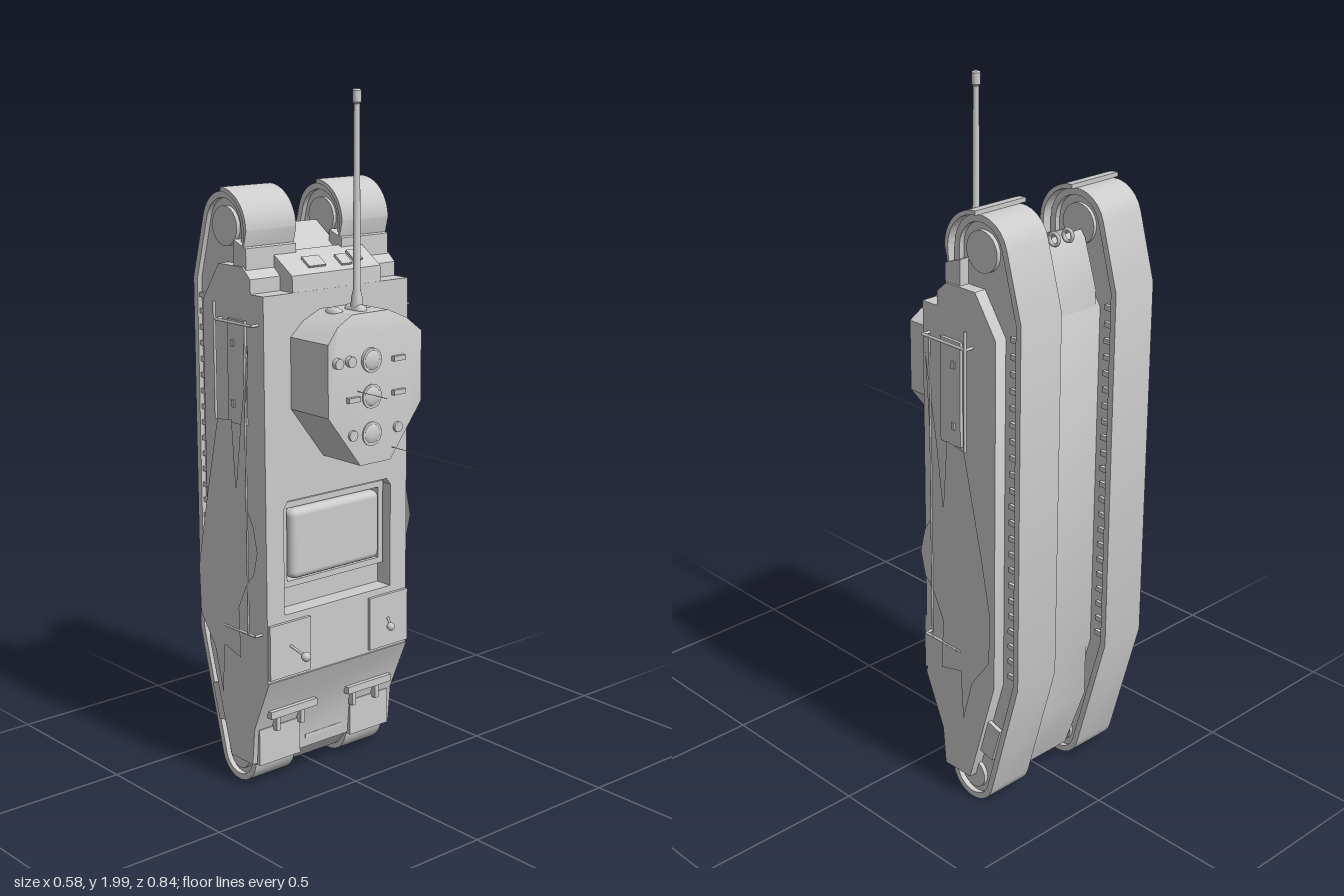
import * as THREE from 'three';
import { toCreasedNormals } from 'three/addons/utils/BufferGeometryUtils.js';
import { RoundedBoxGeometry } from 'three/addons/geometries/RoundedBoxGeometry.js';

const grey = new THREE.MeshStandardMaterial({ color: 0xcccccc });
const thin = new THREE.MeshStandardMaterial({ color: 0xcccccc, side: THREE.DoubleSide });

export function createModel() {
  const model = new THREE.Group();

  const add = (name, geo, x = 0, y = 0, z = 0, mat = grey) => {
    const mesh = new THREE.Mesh(geo, mat);
    mesh.name = name;
    mesh.position.set(x, y, z);
    model.add(mesh);
    return mesh;
  };
  const box = (name, w, h, d, x, y, z) => add(name, new THREE.BoxGeometry(w, h, d), x, y, z);
  const rod = (name, a, b, r0, r1 = r0, sides = 10) => {
    const from = new THREE.Vector3(...a), to = new THREE.Vector3(...b);
    const mesh = add(name, new THREE.CylinderGeometry(r1, r0, from.distanceTo(to), sides));
    mesh.position.copy(from).add(to).multiplyScalar(0.5);
    mesh.quaternion.setFromUnitVectors(new THREE.Vector3(0, 1, 0), to.sub(from).normalize());
    return mesh;
  };
  const pts = list => list.map(([a, b]) => new THREE.Vector2(a, b));
  const extrude = (shape, depth) => toCreasedNormals(
    new THREE.ExtrudeGeometry(shape, { depth, bevelEnabled: false, curveSegments: 12 }), 0.6);
  // side profile given as [-z, y], extruded from x0 to x1
  const across = (name, shape, x0, x1) =>
    add(name, extrude(shape, x1 - x0).rotateY(Math.PI / 2), x0);
  const rect = (x0, y0, x1, y1) => pts([[x0, y0], [x1, y0], [x1, y1], [x0, y1]]);

  // Hull: wide body, narrower keel between the tracks, deck plate with a recess
  across('hullBody', new THREE.Shape(pts([
    [0.15, 0.09], [0.25, 0.09], [0.345, 0.42], [0.345, 1.42], [0.27, 1.53], [0.165, 1.53],
    [0.13, 1.5], [0.13, 0.36], [0.07, 0.36], [0.14, 0.2]])), -0.263, 0.263);
  across('keel', new THREE.Shape(pts([
    [0.15, 0.1], [0.2, 0.04], [0.27, 0.05], [0.342, 0.25], [0.342, 1.47], [0.3, 1.6],
    [0.285, 1.62], [0.155, 1.53]])), -0.1, 0.1);
  const deck = new THREE.Shape(rect(-0.263, 0.36, 0.263, 1.46));
  deck.holes.push(new THREE.Path(pts([
    [-0.2, 0.55], [0.2, 0.55], [0.2, 0.86], [0.185, 0.88], [-0.185, 0.88], [-0.2, 0.86]])));
  add('deckPlate', extrude(deck, 0.057), 0, 0, -0.132);
  across('upperGlacis', new THREE.Shape(pts([
    [0.075, 1.45], [0.17, 1.45], [0.17, 1.56], [0.155, 1.555], [0.078, 1.505]])), -0.16, 0.16);

  // Raised cover and rim in the deck recess
  add('engineCover', new RoundedBoxGeometry(0.33, 0.205, 0.05, 3, 0.02), 0, 0.745, -0.105);
  const rim = new THREE.Shape(rect(-0.19, 0.62, 0.19, 0.87));
  rim.holes.push(new THREE.Path(rect(-0.172, 0.638, 0.172, 0.852)));
  add('coverRim', extrude(rim, 0.035), 0, 0, -0.132);

  // Track outline: arcs [-z, y, radius, start, end in degrees] joined by straight runs
  const arcs = [[0.24, 0.09, 0.08, -180, -15], [0.385, 0.44, 0.03, -15, 0],
    [0.38, 1.47, 0.033, 0, 15], [0.27, 1.63, 0.095, 15, 180]];
  const outline = inset => arcs.flatMap(([cz, cy, r, a, b]) =>
    Array.from({ length: 13 }, (_, i) => {
      const t = THREE.MathUtils.degToRad(a + (b - a) * i / 12);
      return new THREE.Vector2(cz + (r - inset) * Math.cos(t), cy + (r - inset) * Math.sin(t));
    }));

  // Skirt outline as [-z, y]
  const skirtShape = new THREE.Shape(pts([
    [0.13, 0.87], [0.1, 0.82], [0.083, 0.75], [0.1, 0.68], [0.13, 0.65], [0.17, 0.57],
    [0.165, 0.42], [0.24, 0.44], [0.25, 0.29], [0.285, 0.42], [0.35, 0.51], [0.355, 0.65],
    [0.32, 0.82], [0.255, 1.1], [0.19, 1.11], [0.175, 0.91], [0.15, 1.1], [0.11, 1.34],
    [0.125, 1.1]]));

  for (const s of [-1, 1]) {
    const span = (name, shape, a, b) => across(name, shape, s > 0 ? a : -b, s > 0 ? b : -a);

    // Track band, frame and guide lugs
    const band = new THREE.Shape(outline(0));
    band.holes.push(new THREE.Path(outline(0.018)));
    span('trackBand', band, 0.1, 0.243);
    span('trackFrame', new THREE.Shape(outline(0.016)), 0.115, 0.228);
    for (let i = 0; i < 22; i++) box('trackLug', 0.132, 0.014, 0.03, s * 0.171, 0.46 + i * 0.046, -0.384);
    for (const [y, z, r] of [[0.09, -0.24, 0.045], [1.63, -0.27, 0.055]])
      rod('wheelHub', [s * 0.105, y, z], [s * 0.24, y, z], r, r, 24);

    // Curved fender over the upper wheel
    const fender = new THREE.Shape();
    fender.moveTo(0.155, 1.56);
    fender.absarc(0.265, 1.625, 0.112, Math.PI, Math.PI * 0.5, true);
    fender.absarc(0.265, 1.625, 0.1, Math.PI * 0.5, Math.PI, false);
    fender.lineTo(0.17, 1.56);
    span('fender', fender, 0.083, 0.257);
    span('fenderBase', new THREE.Shape(pts([[0.155, 1.5], [0.21, 1.5], [0.21, 1.6], [0.155, 1.58]])), 0.083, 0.257);

    // Mudguard and hinge at the lower end
    box('mudguard', 0.15, 0.11, 0.05, s * 0.172, 0.14, -0.162);
    box('hingeBar', 0.17, 0.022, 0.02, s * 0.145, 0.245, -0.112);
    for (const dx of [-0.045, 0.045])
      box('hingeArm', 0.014, 0.06, 0.02, s * 0.145 + dx, 0.215, -0.13);

    // Raised corner plate
    box('cornerPlate', 0.148, 0.16, 0.03, s * 0.187, 0.45, -0.08);

    // Thin ragged side skirt on its rods
    add('sideSkirt', new THREE.ShapeGeometry(skirtShape).rotateY(Math.PI / 2), s * 0.288, 0, 0, thin);
    for (const y of [0.5, 1.38]) {
      const z1 = y > 1 ? -0.26 : -0.24;
      rod('skirtRail', [s * 0.286, y, -0.1], [s * 0.286, y, z1], 0.004);
      for (const z of [-0.1, z1]) rod('skirtBracket', [s * 0.255, y, z], [s * 0.288, y, z], 0.004);
    }
    rod('skirtPost', [s * 0.288, 0.5, -0.128], [s * 0.288, 1.38, -0.128], 0.003);
    rod('skirtRearPost', [s * 0.288, 1.1, -0.26], [s * 0.288, 1.43, -0.26], 0.004);

    // Side locker and angled lower box
    box('sideLocker', 0.014, 0.29, 0.075, s * 0.265, 1.24, -0.187);
    for (const y of [1.15, 1.32]) box('lockerLatch', 0.02, 0.02, 0.012, s * 0.266, y, -0.2);
    const bin = box('lowerBox', 0.012, 0.11, 0.07, s * 0.243, 0.235, -0.305);
    bin.rotation.x = -0.28;

    // Towing eyes
    const eye = add('towEye', new THREE.TorusGeometry(0.016, 0.005, 8, 16), s * 0.025, 1.625, -0.31);
    eye.rotation.y = Math.PI / 2;
  }

  // Turret: many-sided plan, roof dropping towards the gun
  const half = [[0.055, 0.99], [0.17, 1.14], [0.17, 1.34], [0.125, 1.38], [0.065, 1.407]];
  const plan = [...half, ...half.map(([x, y]) => [-x, y]).reverse()];
  const turretGeo = new THREE.ExtrudeGeometry(new THREE.Shape(pts(plan)), { depth: 0.16, bevelEnabled: false });
  const p = turretGeo.attributes.position;
  for (let i = 0; i < p.count; i++)
    if (p.getZ(i) > 0.1) p.setZ(i, 0.158 - Math.max(0, p.getY(i) - 1.34) * 0.33);
  add('turret', toCreasedNormals(turretGeo, 0.35), 0, 0, -0.076);

  // Gun and mantlet
  const mantlet = add('mantlet', new THREE.CapsuleGeometry(0.018, 0.04, 6, 16), 0, 1.405, 0);
  mantlet.rotation.x = Math.PI / 2;
  const profile = pts([[0, 1.39], [0.018, 1.39], [0.016, 1.44], [0.011, 1.46], [0.008, 1.96],
    [0.012, 1.965], [0.012, 1.995], [0.008, 2], [0.006, 1.96], [0, 1.96]]);
  add('gunBarrel', toCreasedNormals(new THREE.LatheGeometry(profile, 20), 0.6), 0, 0, 0.004);
  add('sightPod', new THREE.SphereGeometry(1, 16, 12), -0.06, 1.4, -0.02).scale.set(0.018, 0.018, 0.034);
  add('sideSlot', new THREE.CapsuleGeometry(0.006, 0.03, 4, 8), 0.05, 1.405, -0.02).rotation.x = Math.PI / 2;

  // Turret roof fittings
  for (const y of [1.28, 1.18, 1.075]) {
    rod('domeRing', [-0.015, y, 0.075], [-0.015, y, 0.086], 0.034, 0.034, 24);
    add('roofDome', new THREE.SphereGeometry(1, 20, 12), -0.015, y, 0.082).scale.set(0.029, 0.029, 0.01);
  }
  for (const [x, y] of [[-0.135, 1.285], [-0.09, 1.285], [-0.085, 1.08], [0.08, 1.08]])
    rod('roofCap', [x, y, 0.075], [x, y, 0.09], 0.015, 0.015, 16);
  for (const [x, y] of [[0.08, 1.275], [0.08, 1.18], [-0.085, 1.18]])
    box('roofBlock', 0.042, 0.014, 0.016, x, y, 0.086);
  rod('longAerial', [0.06, 1.025, 0.08], [0.06, 1.025, 0.42], 0.001, 0.001, 5);
  rod('shortAerial', [-0.065, 1.2, 0.08], [-0.065, 1.2, 0.2], 0.001, 0.001, 5);

  // Lamps on the corner plates
  rod('lampStalk', [-0.187, 0.46, -0.07], [-0.187, 0.445, 0], 0.004);
  add('lamp', new THREE.SphereGeometry(0.014, 16, 12), -0.187, 0.445, 0.002);
  rod('rightLampStalk', [0.187, 0.455, -0.07], [0.145, 0.455, -0.01], 0.004);
  add('sideLamp', new THREE.SphereGeometry(0.012, 16, 12), 0.14, 0.455, -0.005);

  // Glacis fittings
  const slope = 0.6;
  for (const [name, w, x, z] of [['louvre', 0.06, -0.055, -0.115], ['visor', 0.038, 0.048, -0.11], ['periscope', 0.034, 0.097, -0.12]])
    box(name, w, 0.014, 0.04, x, 1.505 + (-0.078 - z) * 0.65, z).rotation.x = slope;
  rod('glacisPost', [0.1, 1.5, -0.115], [0.1, 1.59, -0.115], 0.005);
  box('noseStep', 0.14, 0.012, 0.02, 0, 0.125, -0.155);

  return model;
}
